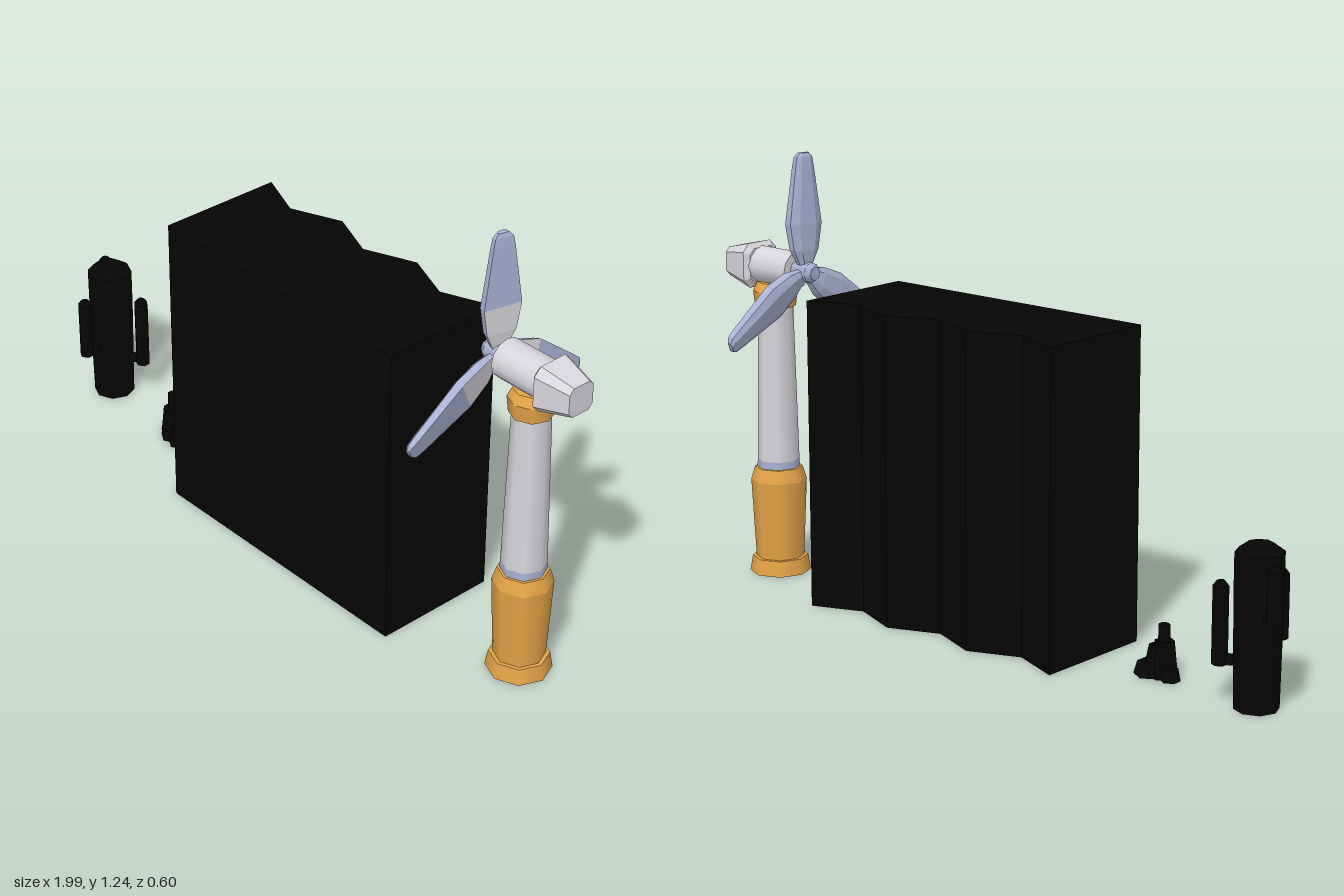
import * as THREE from 'three';

const mat = (name, color) => {
  const m = new THREE.MeshStandardMaterial({ color });
  m.name = name;
  return m;
};

// Skin closed rings (counter-clockwise seen from the far end) with flat faces and end caps
function loft(rings, pick = () => 0) {
  const pos = [], geo = new THREE.BufferGeometry();
  const tri = (m, ...pts) => {
    geo.addGroup(pos.length / 3, 3, m);
    pts.forEach(p => pos.push(...p));
  };
  const n = rings[0].length, last = rings[rings.length - 1];
  for (let i = 0; i < rings.length - 1; i++) {
    for (let j = 0; j < n; j++) {
      const k = (j + 1) % n, m = pick(i, j);
      tri(m, rings[i][j], rings[i][k], rings[i + 1][k]);
      tri(m, rings[i][j], rings[i + 1][k], rings[i + 1][j]);
    }
  }
  for (let j = 1; j < n - 1; j++) {
    tri(0, rings[0][0], rings[0][j + 1], rings[0][j]);
    tri(0, last[0], last[j], last[j + 1]);
  }
  geo.setAttribute('position', new THREE.Float32BufferAttribute(pos, 3));
  geo.computeVertexNormals();
  return geo;
}

export function createModel() {
  const model = new THREE.Group();
  model.name = 'desertWindTurbineSet';
  const black = mat('black', 0x050505);
  const grey = mat('lightGrey', 0xd6d6dc);
  const blue = mat('paleBlue', 0xa9b1d3);
  const orange = mat('orange', 0xe5a448);

  const add = (parent, name, geo, material, x = 0, y = 0, z = 0) => {
    const m = new THREE.Mesh(geo, material);
    m.name = name;
    m.position.set(x, y, z);
    parent.add(m);
    return m;
  };
  const group = (name, x = 0, y = 0, z = 0) => {
    const g = new THREE.Group();
    g.name = name;
    g.position.set(x, y, z);
    model.add(g);
    return g;
  };
  // Upright tapered column from y0 to y1
  const column = (parent, name, material, r0, r1, y0, y1, sides = 8, x = 0, z = 0) =>
    add(parent, name, new THREE.CylinderGeometry(r1, r0, y1 - y0, sides), material, x, (y0 + y1) / 2, z);

  // Large block with a zigzag back
  const outline = new THREE.Shape();
  outline.moveTo(-0.34, -0.18);
  outline.lineTo(0.53, -0.18);
  for (let i = 6; i >= 0; i--) outline.lineTo(-0.34 + 0.145 * i, i % 2 ? 0.125 : 0.183);
  outline.closePath();
  const blockGeo = new THREE.ExtrudeGeometry(outline, { depth: 0.87, bevelEnabled: false });
  blockGeo.rotateX(-Math.PI / 2);
  add(model, 'block', blockGeo, black);

  // Turbine tower
  const tower = group('tower', 0.842, 0, 0);
  column(tower, 'foot', orange, 0.088, 0.08, 0, 0.045);
  column(tower, 'base', orange, 0.069, 0.08, 0.045, 0.275);
  column(tower, 'baseShoulder', orange, 0.08, 0.068, 0.275, 0.313);
  column(tower, 'shaftBand', blue, 0.061, 0.06, 0.313, 0.335);
  column(tower, 'shaft', grey, 0.06, 0.05, 0.335, 0.79);
  column(tower, 'collar', orange, 0.058, 0.063, 0.785, 0.83);
  column(tower, 'collarTop', orange, 0.063, 0.05, 0.83, 0.855);

  // Nacelle and tail along x
  const nacelle = group('nacelle', 0, 0.898, 0);
  const along = (r0, r1, x0, x1, sides) =>
    new THREE.CylinderGeometry(r1, r0, x1 - x0, sides).rotateZ(-Math.PI / 2).translate((x0 + x1) / 2, 0, 0);
  add(nacelle, 'nacelleBody', along(0.054, 0.054, 0.75, 0.9, 12), grey);
  const corners = [[1, -0.65], [1, 0.65], [0.65, 1], [-0.65, 1], [-1, 0.65], [-1, -0.65], [-0.65, -1], [0.65, -1]];
  const tailRings = [[0.89, 0.05], [0.903, 0.064], [1, 0.041]]
    .map(([x, h]) => corners.map(([y, z]) => [x, y * h, z * h]));
  add(nacelle, 'nacelleTail', loft(tailRings), [grey]);

  // Hub and three pitched blades
  add(nacelle, 'hub', along(0.03, 0.03, 0.695, 0.755, 8), blue);
  add(nacelle, 'hubCap', along(0.02, 0.03, 0.68, 0.695, 8), blue);
  const section = [[1, 0.5], [-1, 0.5], [-0.95, -0.15], [-0.5, -0.5], [0.5, -0.5], [0.95, -0.15]];
  // distance from hub, half width, thickness
  const stations = [[0.01, 0.016, 0.02], [0.065, 0.042, 0.034], [0.138, 0.054, 0.036],
    [0.3, 0.031, 0.026], [0.327, 0.026, 0.022], [0.338, 0.015, 0.014]];
  const bladeGeo = loft(
    stations.map(([y, w, t]) => section.map(([z, x]) => [x * t, y, z * w])),
    (i, j) => (i < 2 && j === 0 ? 1 : 0)
  );
  for (let k = 0; k < 3; k++) {
    const arm = group('bladeMount', 0.717, 0.898, 0);
    arm.rotation.x = k * Math.PI * 2 / 3;
    add(arm, 'blade', bladeGeo, [blue, grey]).rotation.y = -0.22;
  }

  // Cactus with three bent arms
  const cactus = group('cactus', -0.885, 0, -0.025);
  column(cactus, 'trunkLower', black, 0.059, 0.064, 0, 0.3);
  column(cactus, 'trunkUpper', black, 0.064, 0.064, 0.3, 0.41);
  column(cactus, 'trunkTop', black, 0.064, 0.034, 0.41, 0.432);
  const arms = [[0, 0.16, 0.345], [Math.PI * 2 / 3, 0.11, 0.33], [-Math.PI * 2 / 3, 0.245, 0.4]];
  for (const [angle, y0, y1] of arms) {
    const arm = new THREE.Group();
    arm.name = 'cactusArm';
    arm.rotation.y = angle;
    cactus.add(arm);
    const elbow = new THREE.CylinderGeometry(0.016, 0.016, 0.08, 6).rotateX(Math.PI / 2);
    add(arm, 'armElbow', elbow, black, 0, y0 + 0.014, 0.06);
    column(arm, 'armStem', black, 0.021, 0.021, y0, y1 - 0.014, 6, 0, 0.095);
    column(arm, 'armTip', black, 0.021, 0.01, y1 - 0.014, y1, 6, 0, 0.095);
  }

  // Small rock pile of tapered hexagonal lumps: x, z, bottom radius, top radius, height
  const rocks = group('rocks');
  [[-0.53, 0, 0.046, 0.036, 0.035], [-0.545, 0, 0.034, 0.018, 0.085], [-0.57, 0.005, 0.036, 0.026, 0.1],
    [-0.572, 0, 0.018, 0.015, 0.146], [-0.6, -0.008, 0.027, 0.02, 0.035]]
    .forEach(([x, z, r0, r1, h]) => column(rocks, 'rock', black, r0, r1, 0, h, 6, x, z));

  return model;
}
